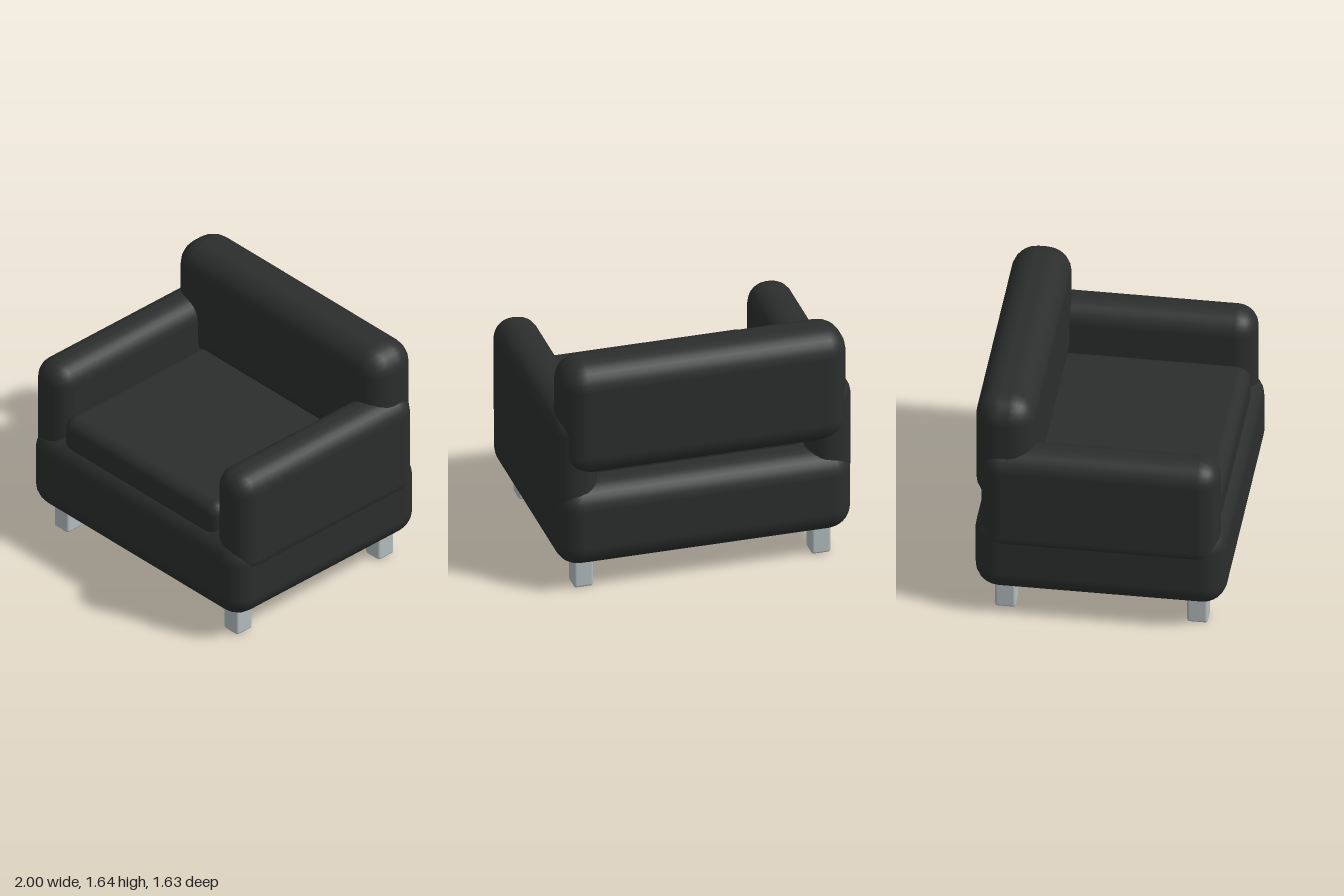
import * as THREE from 'three';
import { RoundedBoxGeometry } from 'three/addons/geometries/RoundedBoxGeometry.js';

const fabric = new THREE.MeshStandardMaterial({ color: 0x2b2e2d });
const metal = new THREE.MeshStandardMaterial({ color: 0xb4bdbf });

// Rounded block given by its [min, max] range on each axis
function block(name, [x0, x1], [y0, y1], [z0, z1], radius, material = fabric) {
  const geometry = new RoundedBoxGeometry(x1 - x0, y1 - y0, z1 - z0, 3, radius);
  const mesh = new THREE.Mesh(geometry, material);
  mesh.name = name;
  mesh.position.set((x0 + x1) / 2, (y0 + y1) / 2, (z0 + z1) / 2);
  return mesh;
}

export function createModel() {
  const chair = new THREE.Group();
  chair.name = 'armchair';

  // Upholstered body
  chair.add(
    block('base', [-0.99, 0.99], [0.185, 0.77], [-0.817, 0.817], 0.16),
    block('seatCushion', [-0.73, 0.73], [0.6, 0.945], [-0.6, 0.755], 0.09),
    block('backrest', [-0.96, 0.96], [0.835, 1.64], [-0.817, -0.427], 0.165)
  );

  // Armrests and legs, mirrored left and right
  for (const [side, s] of [['left', 1], ['right', -1]]) {
    const span = (a, b) => (s > 0 ? [a, b] : [-b, -a]);
    chair.add(block(side + 'Armrest', span(0.7, 1), [0.5, 1.275], [-0.775, 0.775], 0.138));
    chair.add(block(side + 'FrontLeg', span(0.73, 0.86), [0, 0.22], [0.555, 0.69], 0.018, metal));
    chair.add(block(side + 'BackLeg', span(0.73, 0.86), [0, 0.22], [-0.69, -0.555], 0.018, metal));
  }
  return chair;
}
